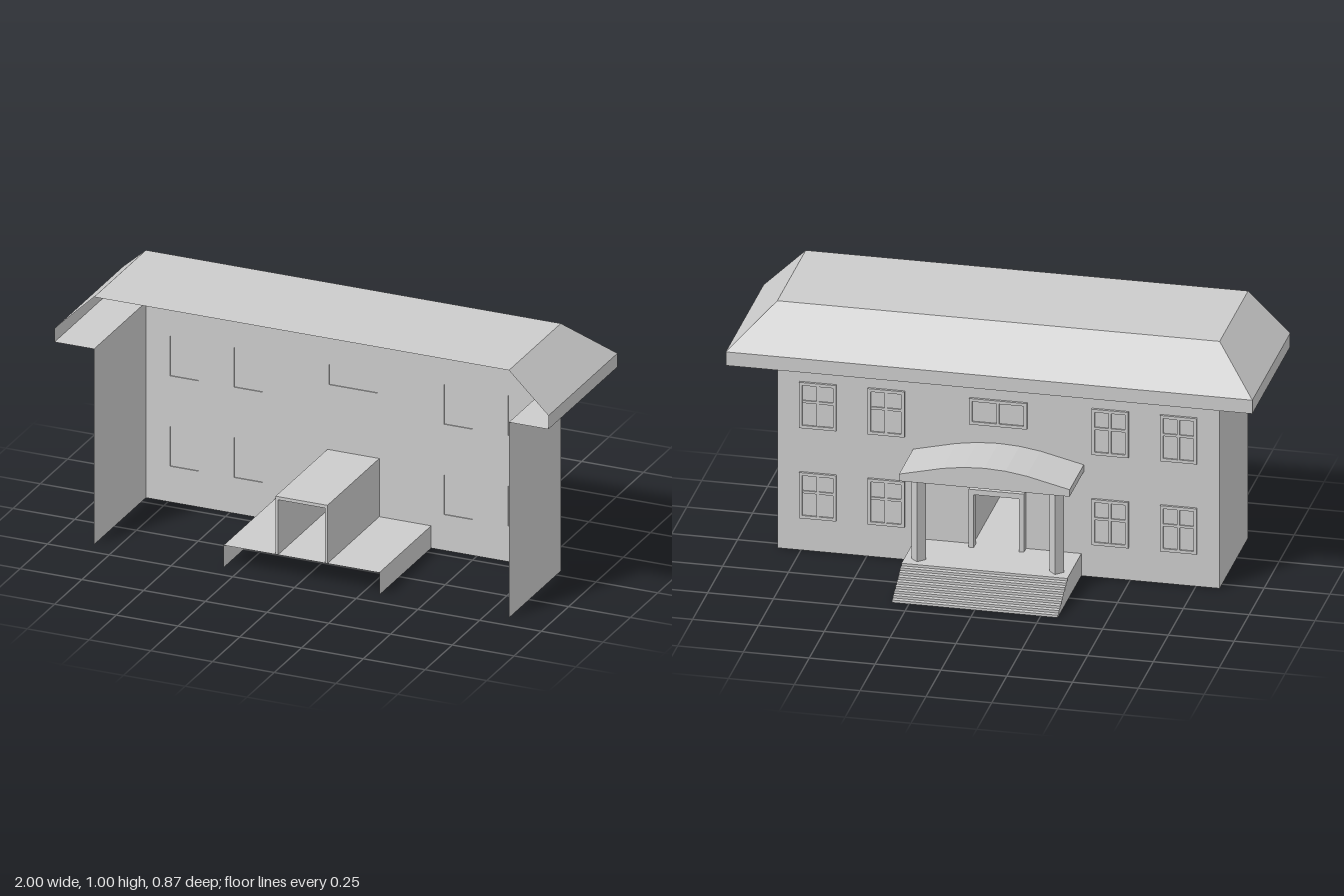
import * as THREE from 'three';

const material = new THREE.MeshStandardMaterial({ color: 0xcccccc, flatShading: true, side: THREE.DoubleSide });
const FACADE = -0.04, OPEN = 0.435, HALF = 0.84;

function add(parent, name, geometry, x = 0, y = 0, z = 0) {
  const mesh = new THREE.Mesh(geometry, material);
  mesh.name = name;
  mesh.position.set(x, y, z);
  parent.add(mesh);
  return mesh;
}

// Surface between successive rows of points, with hard edges
function loft(rows) {
  const pos = [];
  for (let i = 0; i < rows.length - 1; i++) {
    for (let j = 0; j < rows[i].length - 1; j++) {
      const a = rows[i][j], b = rows[i][j + 1], c = rows[i + 1][j + 1], d = rows[i + 1][j];
      pos.push(...a, ...b, ...c, ...a, ...c, ...d);
    }
  }
  const g = new THREE.BufferGeometry();
  g.setAttribute('position', new THREE.Float32BufferAttribute(pos, 3));
  g.computeVertexNormals();
  return g;
}

const polygon = pts => new THREE.Shape(pts.map(([x, y]) => new THREE.Vector2(x, y)));
const rect = (x0, y0, x1, y1) => [[x0, y0], [x1, y0], [x1, y1], [x0, y1]];
const extrude = (shape, depth) => new THREE.ExtrudeGeometry(shape, { depth, bevelEnabled: false });

// Inverted U around the doorway
function doorArch(outerX, outerY, innerX, innerY, depth) {
  return extrude(polygon([
    [-outerX, 0.09], [-outerX, outerY], [outerX, outerY], [outerX, 0.09],
    [innerX, 0.09], [innerX, innerY], [-innerX, innerY], [-innerX, 0.09],
  ]), depth);
}

// Window frame with mullions and a thin recessed pane
function makeWindow(name, x, y, w, h, crossbar) {
  const group = new THREE.Group();
  group.name = name;
  const t = 0.012;
  const frame = polygon(rect(-w / 2, -h / 2, w / 2, h / 2));
  frame.holes.push(polygon(rect(-w / 2 + t, -h / 2 + t, w / 2 - t, h / 2 - t)));
  add(group, 'windowFrame', extrude(frame, 0.01), 0, 0, -0.01);
  add(group, 'mullion', new THREE.BoxGeometry(0.01, h - 2 * t, 0.005), 0, 0, -0.0065);
  if (crossbar) add(group, 'crossbar', new THREE.BoxGeometry(w - 2 * t, 0.01, 0.005), 0, h * 0.08, -0.0065);
  add(group, 'pane', new THREE.PlaneGeometry(w - 2 * t, h - 2 * t), 0, 0, -0.004);
  group.position.set(x, y, FACADE);
  return group;
}

export function createModel() {
  const model = new THREE.Group();
  model.name = 'house';

  // Window layout: x, y, width, height, crossbar
  const windows = [[0, 0.628, 0.22, 0.105, false]];
  for (const x of [-0.685, -0.425, 0.425, 0.685]) {
    windows.push([x, 0.59, 0.14, 0.185, true], [x, 0.225, 0.14, 0.185, true]);
  }

  // Facade pierced by the door and windows
  const facade = polygon(rect(-HALF, 0, HALF, 0.79));
  facade.holes.push(polygon(rect(-0.1, 0.09, 0.1, 0.32)));
  for (const [x, y, w, h] of windows) {
    const a = w / 2 - 0.006, b = h / 2 - 0.006;
    facade.holes.push(polygon(rect(x - a, y - b, x + a, y + b)));
  }
  add(model, 'facade', new THREE.ShapeGeometry(facade), 0, 0, FACADE);
  for (const w of windows) model.add(makeWindow('window', ...w));

  // Side walls
  for (const s of [-1, 1]) {
    add(model, 'sideWall', loft([
      [[s * HALF, 0, FACADE], [s * HALF, 0, OPEN]],
      [[s * HALF, 0.79, FACADE], [s * HALF, 0.79, OPEN]],
    ]));
  }

  // Hipped roof: soffit, fascia and slopes round three sides, then the flat top
  const roofRow = (x, y, z) => [[-x, y, OPEN], [-x, y, z], [x, y, z], [x, y, OPEN]];
  add(model, 'roof', loft([
    roofRow(HALF, 0.79, FACADE),
    roofRow(1, 0.79, -0.197),
    roofRow(1, 0.845, -0.197),
    roofRow(HALF, 1, FACADE),
  ]));
  add(model, 'roofTop', loft([
    [[-HALF, 1, FACADE], [HALF, 1, FACADE]],
    [[-HALF, 1, OPEN], [HALF, 1, OPEN]],
  ]));

  // Hall floor, porch floor and steps in one folded strip
  const profile = [[OPEN, 0.09], [FACADE, 0.09], [-0.275, 0.09]];
  for (let i = 1; i <= 8; i++) {
    const y = 0.09 - i * 0.01;
    profile.push([-0.275 - (i - 1) * 0.02, y], [-0.275 - i * 0.02, y]);
  }
  profile.push([-OPEN, 0]);
  const W = 0.315;
  add(model, 'floorAndSteps', loft(profile.map(([z, y]) => [[-W, y, z], [W, y, z]])));
  for (const s of [-1, 1]) {
    const side = new THREE.ShapeGeometry(polygon([[OPEN, 0], ...profile]));
    side.rotateY(-Math.PI / 2);
    add(model, 'floorSide', side, s * W);
  }

  // Entrance frame and the passage behind it
  add(model, 'doorFrame', doorArch(0.105, 0.325, 0.086, 0.304, 0.036), 0, 0, -0.076);
  add(model, 'passage', doorArch(0.105, 0.325, 0.095, 0.312, OPEN - FACADE), 0, 0, FACADE);

  // Curved porch roof
  const half = [[0.324, 0.45], [0.16, 0.489], [0.08, 0.501]];
  const canopy = polygon([
    [-0.324, 0.422], [0.324, 0.422], ...half, [0, 0.505],
    ...half.map(([x, y]) => [-x, y]).reverse(),
  ]);
  add(model, 'porchRoof', extrude(canopy, 0.235), 0, 0, -0.275);

  // Four-sided porch columns, set cornerwise
  for (const s of [-1, 1]) {
    add(model, 'column', new THREE.CylinderGeometry(0.0275, 0.0275, 0.34, 4), s * 0.262, 0.254, -0.222);
  }

  return model;
}
